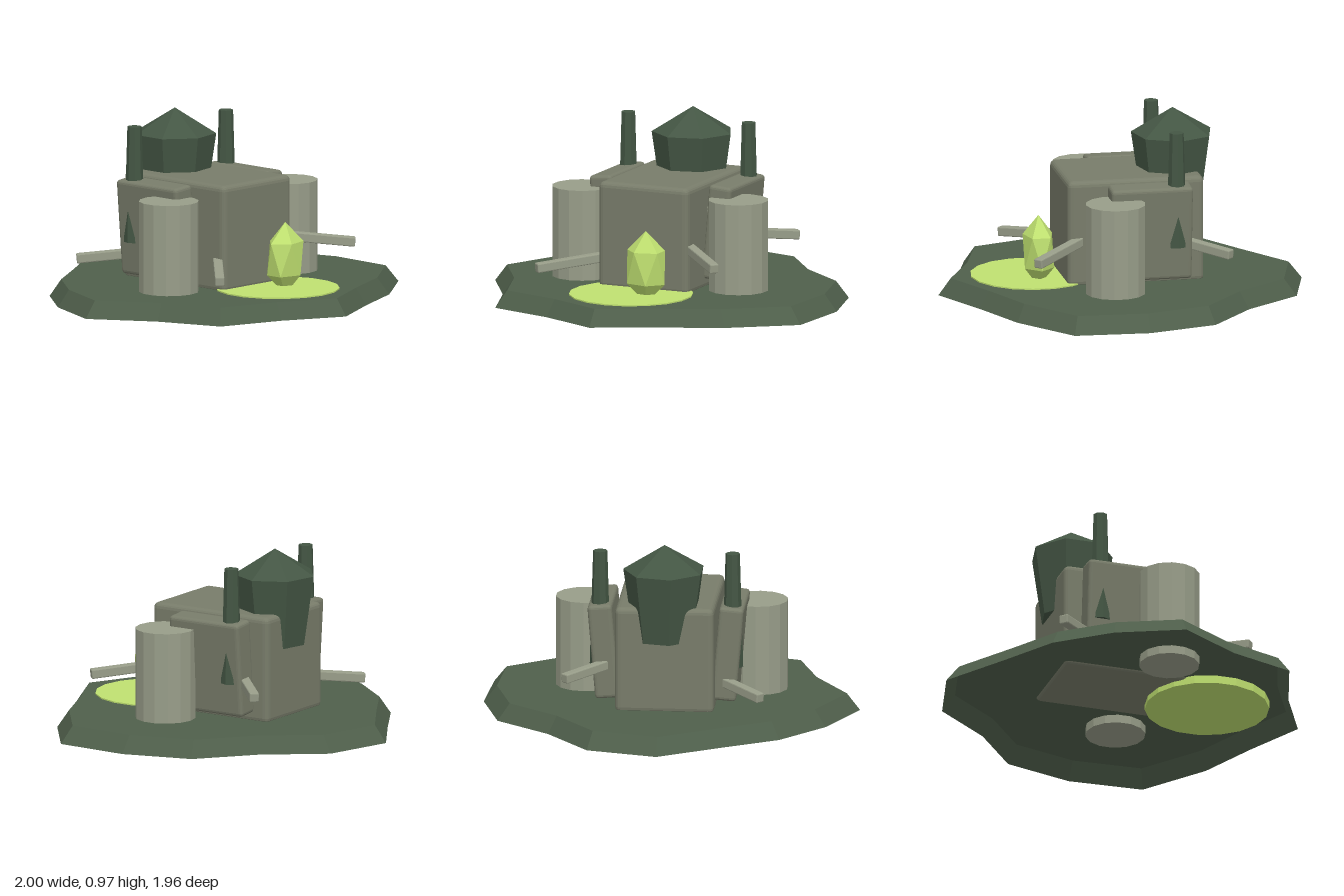
import * as THREE from 'three';
import { RoundedBoxGeometry } from 'three/addons/geometries/RoundedBoxGeometry.js';

const mat = (color, extra = {}) => new THREE.MeshStandardMaterial({ color, flatShading: true, ...extra });

export function createModel() {
  const model = new THREE.Group();
  const ground = mat(0x4f5f4b, { side: THREE.DoubleSide });
  const dark = mat(0x445644);
  const wall = mat(0x787c6a);
  const pale = mat(0x989d89);
  const glow = mat(0xbfe070);

  const add = (name, geometry, material, x, y, z) => {
    const mesh = new THREE.Mesh(geometry, material);
    mesh.name = name;
    mesh.position.set(x, y, z);
    model.add(mesh);
    return mesh;
  };

  // Irregular bevelled ground slab, open underneath: one radius per corner
  const radii = [1, 1.06, 0.92, 0.855, 0.95, 0.855, 0.96, 0.865, 1, 0.915, 0.88, 0.865, 1.01, 0.985, 0.86, 0.97];
  const slab = new THREE.LatheGeometry(
    [[1, 0], [0.93, 0.09], [0, 0.09]].map(([r, y]) => new THREE.Vector2(r, y)), 16);
  const p = slab.attributes.position;
  for (let i = 0; i < p.count; i++) {
    const corner = Math.round(Math.atan2(p.getZ(i), p.getX(i)) / (Math.PI / 8));
    const r = radii[(corner + 16) % 16];
    p.setX(i, p.getX(i) * r);
    p.setZ(i, p.getZ(i) * r);
  }
  add('groundSlab', slab, ground, 0, 0, 0.03);

  // Main block
  add('mainBlock', new RoundedBoxGeometry(0.525, 0.575, 0.735, 2, 0.03), wall, 0.006, 0.363, -0.035);

  // Faceted turret sunk into the rear of the block, with a pointed roof
  const turret = add('turret', new THREE.CylinderGeometry(0.22, 0.165, 0.375, 7), dark, 0.013, 0.648, -0.28);
  const roof = add('turretRoof', new THREE.ConeGeometry(0.22, 0.135, 7), dark, 0.013, 0.903, -0.28);
  turret.rotation.y = roof.rotation.y = Math.PI / 2;

  // Parts on both sides
  for (const s of [-1, 1]) {
    const side = s > 0 ? 'left' : 'right';
    const x = (d) => 0.007 + s * d;

    add(side + 'Tank', new THREE.CylinderGeometry(0.16, 0.16, 0.53, 14), pale, x(0.458), 0.31, 0.115);

    // Panel leaning outwards at the top
    const panel = add(side + 'Panel', new RoundedBoxGeometry(0.13, 0.51, 0.44, 2, 0.02), wall, x(0.33), 0.382, -0.095);
    panel.rotation.z = -s * 0.085;

    add(side + 'Chimney', new THREE.CylinderGeometry(0.038, 0.056, 0.62, 8), dark, x(0.352), 0.61, -0.235);

    const pipe = add(side + 'Pipe', new THREE.CylinderGeometry(0.05, 0.05, 0.24, 8), pale, x(0.36), 0.49, 0.04);
    pipe.rotation.z = Math.PI / 2;

    // Diagonal struts, sloping down and outwards
    for (const f of [-1, 1]) {
      const strut = add(side + (f > 0 ? 'Front' : 'Back') + 'Strut',
        new RoundedBoxGeometry(0.05, 0.05, 0.46, 1, 0.006), pale, x(0.36), s > 0 ? 0.305 : 0.222, 0.025 + f * 0.36);
      strut.rotation.order = 'YXZ';
      strut.rotation.y = Math.atan2(s, f);
      strut.rotation.x = 0.095;
    }
  }

  // Glowing pool and crystal
  add('pool', new THREE.CylinderGeometry(0.33, 0.33, 0.05, 18), glow, 0.006, 0.072, 0.475);
  const gem = new THREE.IcosahedronGeometry(1, 0);
  gem.rotateZ(Math.atan(2 / (1 + Math.sqrt(5))));
  gem.scale(0.122, 0.195, 0.093);
  add('crystal', gem, glow, 0.085, 0.24, 0.457);

  return model;
}
